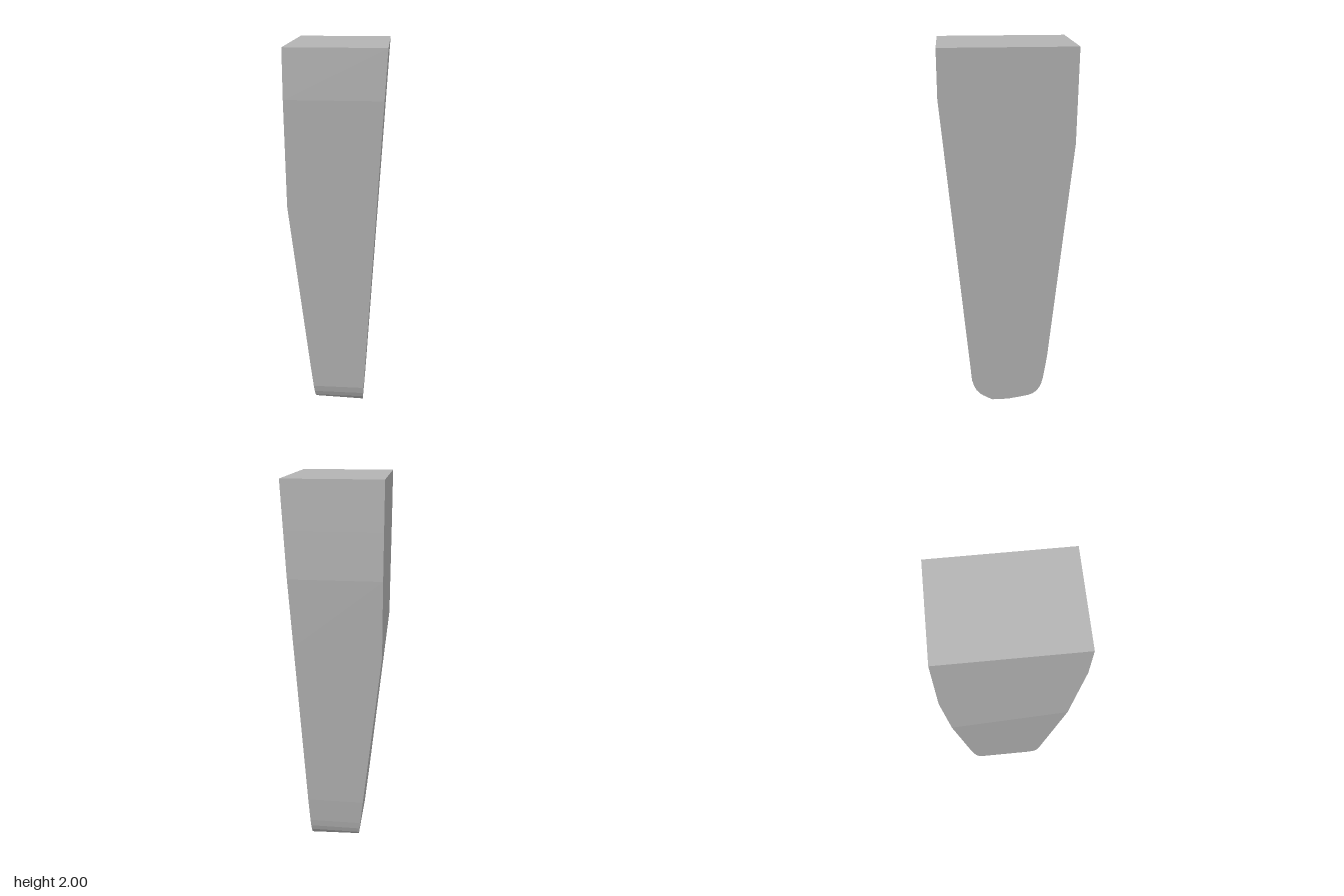
import * as THREE from 'three';

// Cross-sections from top to foot: [y, frontZ, backZ, leftEdgeX, twist of the crease on the -x side]
const SECTIONS = [
  [2.0, 0.337, -0.335, -0.245, 0],
  [1.76, 0.337, -0.335, -0.245, 0],
  [1.53, 0.317, -0.335, -0.245, 0],
  [1.18, 0.287, -0.305, -0.245, 0.04],
  [0.28, 0.209, -0.228, -0.151, 0],
  [0.14, 0.197, -0.209, -0.136, 0],
  [0.1, 0.186, -0.2, -0.132, 0],
  [0.07, 0.172, -0.188, -0.129, 0],
  [0.045, 0.152, -0.17, -0.126, 0],
  [0.03, 0.132, -0.15, -0.123, 0],
  [0.02, 0.115, -0.125, -0.119, 0],
  [0.01, 0.1, -0.07, -0.113, 0],
  [0.0, 0.08, -0.01, -0.105, 0],
];

// Four corners of a section, counter-clockwise seen from above
function corners([y, zf, zb, xl, twist]) {
  const xr = 0.135 + 0.054 * y;
  const lift = y < 0.05 ? 0.008 : 0; // the sole slopes slightly
  const dz = twist * 0.086;
  return [
    [xl, y + lift + twist, zf + dz],
    [xr, y, zf],
    [xr, y, zb],
    [xl, y + lift - twist, zb + dz],
  ];
}

function legGeometry() {
  const rings = SECTIONS.map(corners);
  const positions = [];
  const quad = (a, b, c, d) => positions.push(...a, ...b, ...c, ...a, ...c, ...d);

  // Four sides
  for (let i = 0; i < rings.length - 1; i++) {
    const top = rings[i];
    const low = rings[i + 1];
    for (let k = 0; k < 4; k++) {
      const n = (k + 1) % 4;
      quad(low[k], low[n], top[n], top[k]);
    }
  }
  // Flat top and sole
  quad(...rings[0]);
  quad(...rings[rings.length - 1].slice().reverse());

  const geometry = new THREE.BufferGeometry();
  geometry.setAttribute('position', new THREE.Float32BufferAttribute(positions, 3));
  geometry.computeVertexNormals(); // unshared corners keep the facets crisp
  return geometry;
}

export function createModel() {
  const group = new THREE.Group();
  group.name = 'taperedLeg';
  const grey = new THREE.MeshStandardMaterial({ color: 0xb3b3b3 });
  grey.name = 'light grey';
  const leg = new THREE.Mesh(legGeometry(), grey);
  leg.name = 'leg';
  group.add(leg);
  return group;
}
